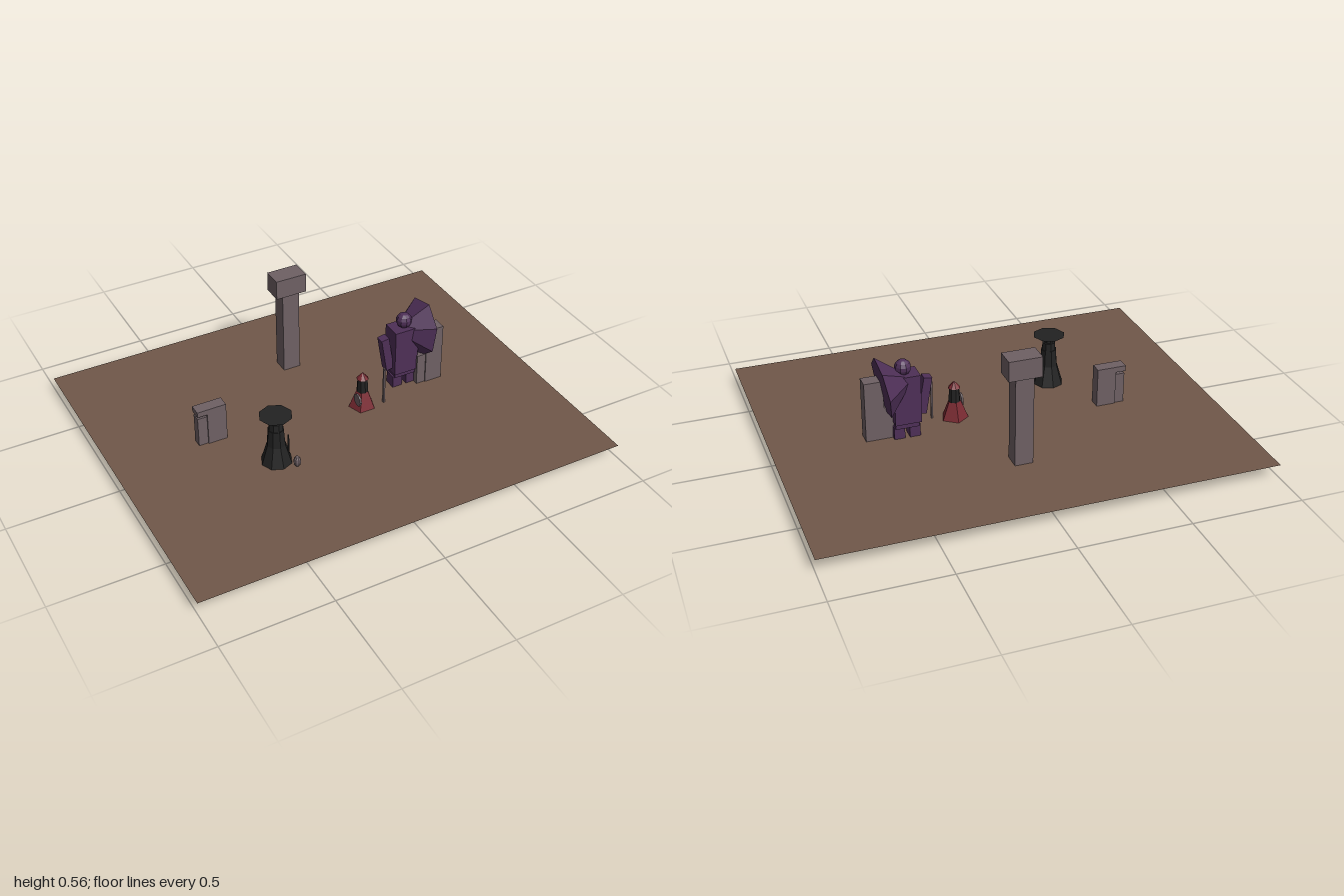
import * as THREE from 'three';

const flat = (color, name, side = THREE.FrontSide) => {
  const m = new THREE.MeshStandardMaterial({ color, flatShading: true, side });
  m.name = name;
  return m;
};

export function createModel() {
  const root = new THREE.Group();
  root.name = 'ruinsScene';
  const earth = flat(0x70584a, 'earth brown', THREE.DoubleSide);
  const stone = flat(0x6e6064, 'grey stone');
  const purple = flat(0x4e2f57, 'dark purple');
  const black = flat(0x222222, 'black cloth');
  const red = flat(0x7a2a32, 'dark red');
  const G = 0.067; // ground level

  const add = (parent, name, geo, mat, x = 0, y = 0, z = 0) => {
    const m = new THREE.Mesh(geo, mat);
    m.name = name;
    m.position.set(x, y, z);
    parent.add(m);
    return m;
  };
  const group = (name, x = 0, z = 0) => {
    const g = new THREE.Group();
    g.name = name;
    g.position.set(x, 0, z);
    root.add(g);
    return g;
  };
  // Box given by its extents
  const box = (parent, name, mat, x0, x1, y0, y1, z0, z1) =>
    add(parent, name, new THREE.BoxGeometry(x1 - x0, y1 - y0, z1 - z0), mat,
      (x0 + x1) / 2, (y0 + y1) / 2, (z0 + z1) / 2);
  // Upright tapered prism between two heights
  const taper = (parent, name, mat, rTop, rBottom, y0, y1, sides) =>
    add(parent, name, new THREE.CylinderGeometry(rTop, rBottom, y1 - y0, sides), mat, 0, (y0 + y1) / 2, 0);

  // Ground sheet
  add(root, 'ground', new THREE.PlaneGeometry(2, 1.635).rotateX(-Math.PI / 2), earth, 0, G, 0);

  // Stone pillar with cap
  const pillar = group('pillar', 0.013, -0.408);
  box(pillar, 'pillarShaft', stone, -0.041, 0.041, G, 0.475, -0.038, 0.038);
  box(pillar, 'pillarCap', stone, -0.074, 0.074, 0.475, 0.567, -0.046, 0.046);

  // Broken wall with a slot under its top slab
  const wall = group('brokenWall');
  box(wall, 'wallBlock', stone, -0.562, -0.473, G, 0.225, -0.094, -0.04);
  box(wall, 'wallLowBlock', stone, -0.606, -0.562, G, 0.211, -0.088, -0.046);
  box(wall, 'wallTopSlab', stone, -0.608, -0.473, 0.225, 0.251, -0.095, -0.04);

  // Standing slab beside the large figure
  const slab = group('standingSlab');
  box(slab, 'slabTall', stone, 0.505, 0.59, G, 0.348, -0.046, 0.017);
  box(slab, 'slabLow', stone, 0.462, 0.505, G, 0.22, -0.046, 0.012);

  // Black robed figure with a flared hat
  const dark = group('blackFigure', -0.353, 0.2);
  taper(dark, 'robeSkirt', black, 0.042, 0.07, 0.065, 0.16, 8);
  taper(dark, 'robeBody', black, 0.036, 0.042, 0.16, 0.24, 8);
  taper(dark, 'head', black, 0.03, 0.033, 0.24, 0.275, 8);
  taper(dark, 'hatBand', black, 0.021, 0.021, 0.275, 0.302, 8);
  taper(dark, 'hatBrim', black, 0.074, 0.024, 0.296, 0.311, 8);
  taper(dark, 'staff', black, 0.004, 0.004, G, 0.21, 5).position.set(0.043, 0.138, 0.03);
  const pebble = add(dark, 'roundStone', new THREE.SphereGeometry(0.017, 8, 6), stone, 0.06, 0.094, 0.077);
  pebble.scale.y = 1.6;

  // Small red figure with a disc shield
  const small = group('redFigure', 0.162, 0.034);
  const skirt = taper(small, 'skirt', red, 0.029, 0.062, G, 0.15, 5);
  skirt.rotation.y = Math.PI;
  taper(small, 'body', black, 0.023, 0.027, 0.15, 0.22, 8);
  add(small, 'hat', new THREE.ConeGeometry(0.028, 0.034, 8), red, 0, 0.233, 0);
  const shield = add(small, 'shield', new THREE.CylinderGeometry(0.03, 0.03, 0.008, 10), stone, -0.042, 0.132, 0.034);
  shield.rotation.z = Math.PI / 2;

  // Upright blade
  box(root, 'blade', stone, 0.255, 0.263, 0.02, 0.251, 0.054, 0.065);

  // Large purple figure
  const giant = group('purpleFigure', 0.41, -0.044);
  box(giant, 'torso', purple, -0.06, 0.058, 0.145, 0.372, -0.046, 0.046);
  box(giant, 'hips', purple, -0.052, 0.054, 0.12, 0.145, -0.035, 0.035);
  for (const s of [-1, 1]) {
    box(giant, 'leg', purple, s * 0.035 - 0.024, s * 0.035 + 0.024, 0.004, 0.125, -0.026, 0.03);
  }
  add(giant, 'head', new THREE.SphereGeometry(0.037, 9, 7), purple, 0.006, 0.402, 0);
  const arm = add(giant, 'arm', new THREE.BoxGeometry(0.038, 0.172, 0.042), purple, -0.086, 0.255, 0.002);
  arm.rotation.z = 0.17;

  // Seven-sided cone behind the shoulder
  const cape = add(giant, 'capeCone', new THREE.ConeGeometry(0.137, 0.145, 7).rotateY(Math.PI), purple,
    0.033, 0.337, -0.012);
  cape.quaternion.setFromUnitVectors(new THREE.Vector3(0, 1, 0), new THREE.Vector3(-1, 0.16, 0).normalize());

  return root;
}
